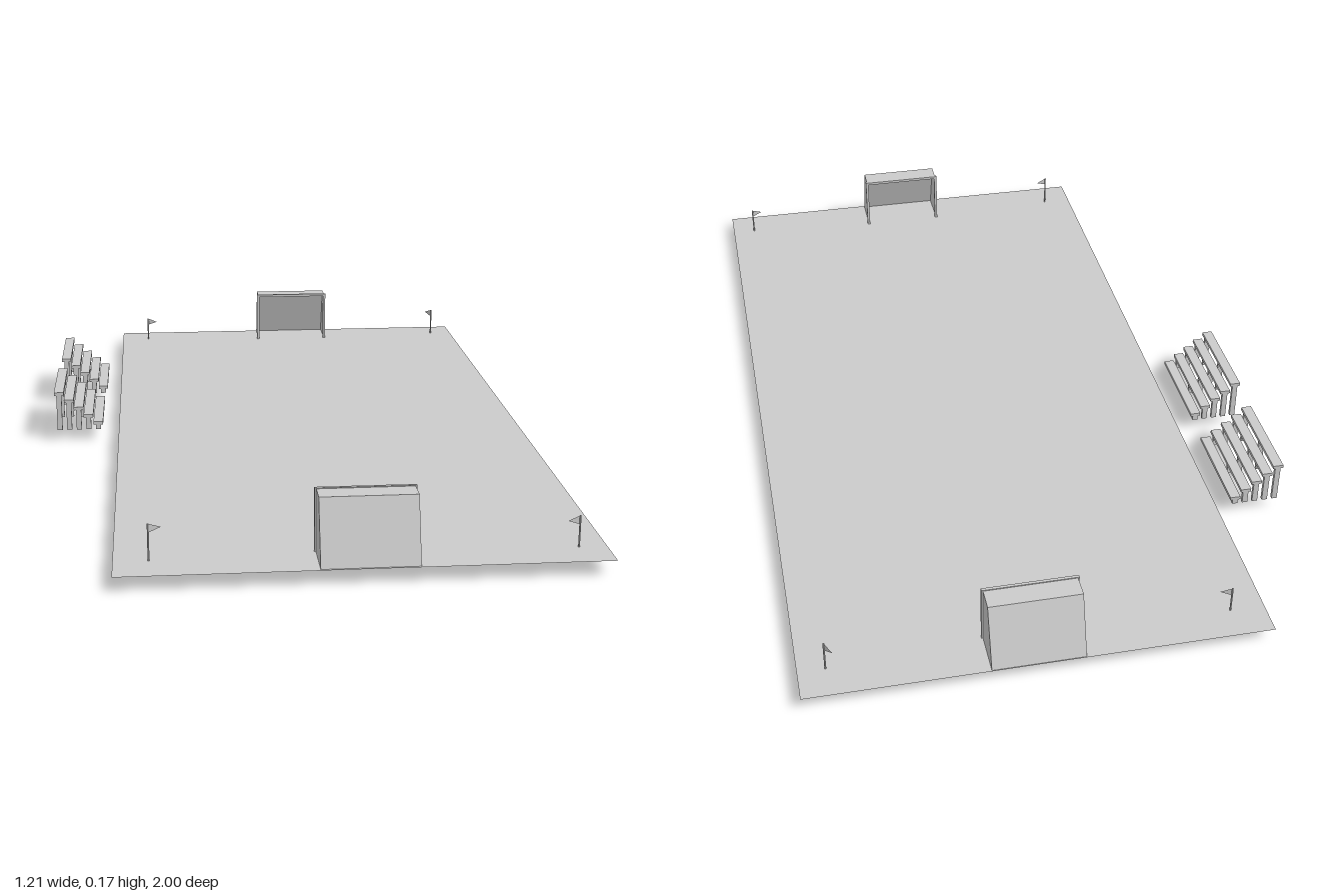
import * as THREE from 'three';

const mat = new THREE.MeshStandardMaterial({ color: 0xcccccc, flatShading: true, side: THREE.DoubleSide });
const TILT = -0.0125; // the whole layout is turned very slightly
const GROUND = 0.035;

function add(parent, name, geometry, x = 0, y = 0, z = 0) {
  const mesh = new THREE.Mesh(geometry, mat);
  mesh.name = name;
  mesh.position.set(x, y, z);
  parent.add(mesh);
  return mesh;
}

function place(parent, child, name, x, y, z, turn) {
  child.name = name;
  child.position.set(x, y, z);
  child.rotation.y = turn;
  parent.add(child);
}

// Flat sheet from a list of corner points [x, y, z]
function sheet(points) {
  const g = new THREE.BufferGeometry();
  const index = [];
  for (let i = 1; i < points.length - 1; i++) index.push(0, i, i + 1);
  g.setAttribute('position', new THREE.Float32BufferAttribute(points.flat(), 3));
  g.setIndex(index);
  g.computeVertexNormals();
  return g;
}

// Goal with its mouth at z = 0 and its net reaching back along +z
function makeGoal() {
  const goal = new THREE.Group();
  const w = 0.103, h = 0.138, topDepth = 0.053, depth = 0.1, post = 0.007;
  add(goal, 'netBack', sheet([[-w, 0, depth], [w, 0, depth], [w, h, topDepth], [-w, h, topDepth]]));
  add(goal, 'netTop', sheet([[-w, h, topDepth], [w, h, topDepth], [w, h, 0], [-w, h, 0]]));
  for (const s of [-1, 1]) {
    const side = [[s * w, 0, 0], [s * w, h, 0], [s * w, h, topDepth], [s * w, 0, depth]];
    add(goal, 'netSide', sheet(s > 0 ? side : side.reverse()));
    add(goal, 'goalPost', new THREE.BoxGeometry(post, h, post), s * w, h / 2, 0);
  }
  add(goal, 'crossbar', new THREE.BoxGeometry(2 * w + post, post, post), 0, h - post / 2 + 0.002, 0);
  return goal;
}

// Five stepped bench planks, each on three legs
function makeBleacher() {
  const stand = new THREE.Group();
  const length = 0.235, step = 0.0245, thick = 0.008;
  for (let i = 0; i < 5; i++) {
    const x = (i - 2) * step;
    const top = 0.1 - i * 0.02;
    add(stand, 'benchPlank', new THREE.BoxGeometry(step, thick, length), x, top - thick / 2, 0);
    for (const k of [-1, 0, 1]) {
      add(stand, 'benchLeg', new THREE.BoxGeometry(0.013, top - thick, 0.008),
        x, (top - thick) / 2, k * (length / 2 - 0.005));
    }
  }
  return stand;
}

// Corner pole with a triangular pennant pointing along local +x
function makeFlag() {
  const flag = new THREE.Group();
  const h = 0.098;
  add(flag, 'pole', new THREE.CylinderGeometry(0.002, 0.002, h, 8), 0, h / 2, 0);
  add(flag, 'pennant', sheet([[0, h, 0], [0, h - 0.02, 0], [0.027, h - 0.01, 0]]));
  return flag;
}

export function createModel() {
  const model = new THREE.Group();
  model.name = 'sportsField';

  // Pitch
  const pitch = new THREE.PlaneGeometry(1.03, 1.985).rotateX(-Math.PI / 2);
  add(model, 'pitch', pitch, 0.0725, GROUND, 0).rotation.y = TILT;

  // Goals facing each other
  place(model, makeGoal(), 'frontGoal', 0.069, GROUND, 0.887, TILT);
  place(model, makeGoal(), 'backGoal', 0.092, GROUND, -0.89, Math.PI + TILT);

  // Spectator stands along one side
  place(model, makeBleacher(), 'backBleacher', -0.534, 0.031, -0.462, TILT);
  place(model, makeBleacher(), 'frontBleacher', -0.543, 0.031, -0.13, TILT);

  // Corner flags, sunk unevenly into the pitch: x, base y, z, turn
  const flags = [
    [-0.38, 0.018, 0.905, 0.2],
    [-0.353, 0.002, -0.922, -0.2],
    [0.516, 0.007, 0.916, Math.PI + 0.15],
    [0.538, 0.011, -0.91, Math.PI - 0.95],
  ];
  for (const [x, y, z, turn] of flags) place(model, makeFlag(), 'cornerFlag', x, y, z, turn);

  return model;
}
